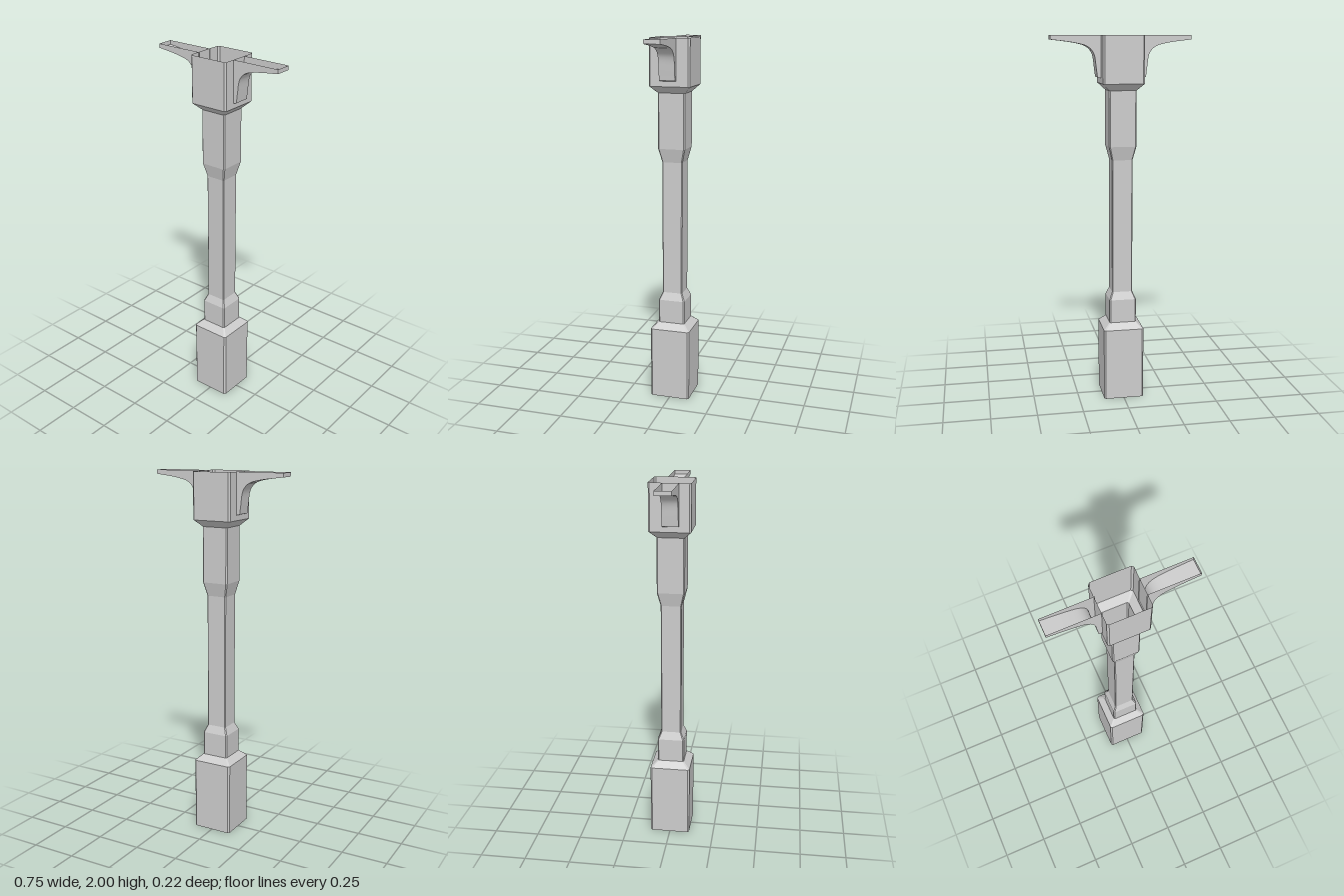
import * as THREE from 'three';

const flat = new THREE.MeshStandardMaterial({ color: 0xcccccc, flatShading: true, side: THREE.DoubleSide });
const smooth = new THREE.MeshStandardMaterial({ color: 0xcccccc, side: THREE.DoubleSide });

// Square ring with small chamfered corners, counter-clockwise seen from above
function ring(half, y) {
  const k = half * 0.92;
  return [[half, k], [half, -k], [k, -half], [-k, -half], [-half, -k], [-half, k], [-k, half], [k, half]]
    .map(([x, z]) => [x, y, z]);
}

// Skin between consecutive rows of points
function loft(rows, closed) {
  const n = rows[0].length, index = [];
  for (let r = 0; r < rows.length - 1; r++) {
    for (let i = 0; i < (closed ? n : n - 1); i++) {
      const j = (i + 1) % n, a = r * n + i, b = r * n + j;
      index.push(a, b, b + n, a, b + n, a + n);
    }
  }
  const g = new THREE.BufferGeometry();
  g.setAttribute('position', new THREE.Float32BufferAttribute(rows.flat(2), 3));
  g.setIndex(index);
  g.computeVertexNormals();
  return g;
}

function addMesh(parent, name, geometry, material) {
  const mesh = new THREE.Mesh(geometry, material);
  mesh.name = name;
  parent.add(mesh);
}

// Curved bracket, hollow and open at the top
function createBracket(name) {
  const bracket = new THREE.Group();
  bracket.name = name;
  const z0 = -0.038, z1 = 0.048;
  const curve = new THREE.CatmullRomCurve3([
    [0.13, 1.784], [0.137, 1.84], [0.146, 1.9], [0.163, 1.928], [0.19, 1.947], [0.24, 1.96], [0.29, 1.968], [0.375, 1.978],
  ].map(([x, y]) => new THREE.Vector3(x, y, 0)), false, 'centripetal');
  const under = curve.getPoints(20).map(p => [p.x, p.y]);
  const strip = pts => loft(pts.map(([x, y]) => [[x, y, z0], [x, y, z1]]), false);

  addMesh(bracket, 'underside', strip(under), smooth);
  addMesh(bracket, 'foot', strip([[0.106, 1.778], [0.13, 1.784]]), flat);
  addMesh(bracket, 'tip', strip([[0.375, 1.978], [0.375, 2]]), flat);

  // Side plates
  const outline = [[0.106, 2], [0.106, 1.778], ...under, [0.375, 2]];
  for (const z of [z0, z1]) {
    const plate = new THREE.ShapeGeometry(new THREE.Shape(outline.map(p => new THREE.Vector2(...p))));
    plate.translate(0, 0, z);
    addMesh(bracket, 'sidePlate', plate, flat);
  }
  return bracket;
}

export function createModel() {
  const model = new THREE.Group();
  model.name = 'column';

  // Hollow square post, open at both ends: half width and height
  const profile = [
    [0.111, 0], [0.111, 0.402], [0.074, 0.436], [0.074, 0.566], [0.056, 0.608],
    [0.056, 1.344], [0.074, 1.418], [0.074, 1.715], [0.111, 1.751], [0.111, 2],
  ];
  // Rows run downwards so the faces look outwards
  const rows = profile.map(([half, y]) => ring(half, y)).reverse();
  addMesh(model, 'post', loft(rows, true), flat);

  // Mirrored pair of brackets at the head
  model.add(createBracket('leftBracket'));
  const right = createBracket('rightBracket');
  right.scale.x = -1;
  model.add(right);
  return model;
}
